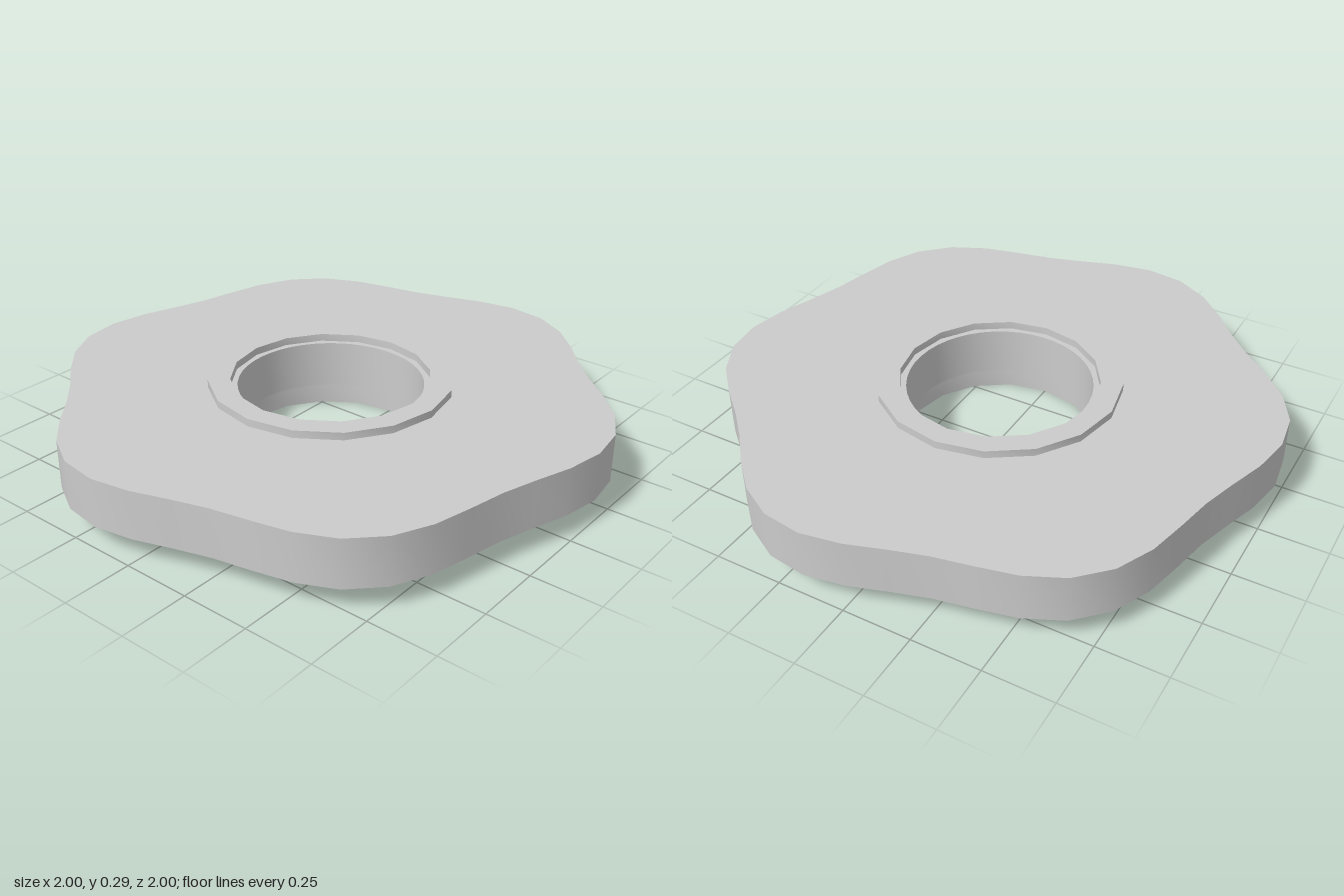
import * as THREE from 'three';
import { toCreasedNormals } from 'three/addons/utils/BufferGeometryUtils.js';

// Closed loop of points; radius may vary with angle
function loop(sides, radiusAt) {
  return Array.from({ length: sides }, (_, i) => {
    const a = (i / sides) * Math.PI * 2;
    const r = radiusAt(a);
    return new THREE.Vector2(r * Math.cos(a), r * Math.sin(a));
  });
}

// Upright prism from an outline, with an optional hole, between two heights
function prism(name, material, outline, hole, y0, y1) {
  const shape = new THREE.Shape(outline);
  if (hole) shape.holes.push(new THREE.Path(hole));
  const geo = new THREE.ExtrudeGeometry(shape, { depth: y1 - y0, bevelEnabled: false });
  geo.rotateX(-Math.PI / 2).translate(0, y0, 0);
  const mesh = new THREE.Mesh(toCreasedNormals(geo, 0.6), material);
  mesh.name = name;
  return mesh;
}

export function createModel() {
  const group = new THREE.Group();
  group.name = 'lobedFlange';
  const grey = new THREE.MeshStandardMaterial({ color: 0xcccccc });
  const dark = new THREE.MeshStandardMaterial({ color: 0x666666 });
  const circle = (r, sides) => loop(sides, () => r);

  // Six-lobed plate with a round bore
  const lobes = loop(44, a => 0.975 + 0.047 * Math.cos(6 * (a - Math.PI / 4)));
  group.add(prism('plate', grey, lobes, circle(0.335, 44), 0.085, 0.262));

  // Raised rim above and deeper collar below
  group.add(prism('topRim', grey, circle(0.44, 16), circle(0.36, 16), 0.262, 0.29));
  group.add(prism('bottomCollar', grey, circle(0.457, 16), circle(0.36, 16), 0, 0.085));

  // Two rings of hexagonal bolt heads under the plate
  for (const [name, ring, size] of [['outerBolt', 0.82, 0.075], ['innerBolt', 0.447, 0.06]]) {
    for (let i = 0; i < 6; i++) {
      const a = (i * Math.PI) / 3;
      const bolt = prism(name, dark, circle(size, 6), null, 0.075, 0.088);
      bolt.position.set(ring * Math.cos(a), 0, ring * Math.sin(a));
      group.add(bolt);
    }
  }
  return group;
}
